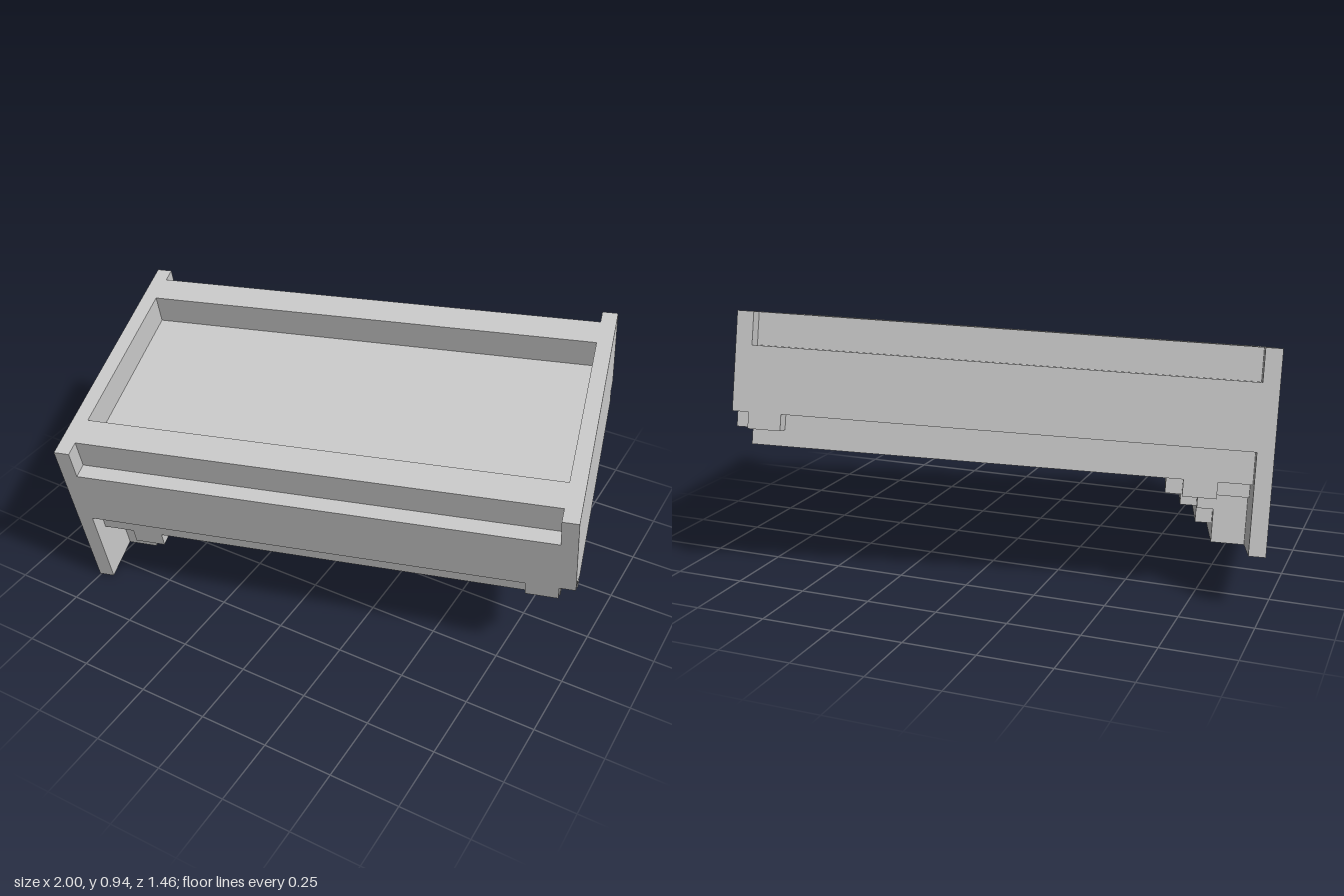
import * as THREE from 'three';

const material = new THREE.MeshStandardMaterial({ color: 0xcccccc, flatShading: true });

// Box from ranges on a block grid: x from the left end, y up, d from front to back
function block(parent, name, [x0, x1], [y0, y1], [d0, d1]) {
  const mesh = new THREE.Mesh(new THREE.BoxGeometry(x1 - x0, y1 - y0, d1 - d0), material);
  mesh.position.set((x0 + x1) / 2, (y0 + y1) / 2, -(d0 + d1) / 2);
  mesh.name = name;
  parent.add(mesh);
}

export function createModel() {
  const model = new THREE.Group();
  model.name = 'tray';
  const body = new THREE.Group();
  body.name = 'tiltedBody';
  model.add(body);

  // End panels: the tall one reaches the ground, the short one hangs
  block(body, 'tallEndPanel', [0, 1], [0, 12], [0, 18]);
  block(body, 'shortEndPanel', [31, 32], [6, 12], [0, 18]);

  // Main slab, lower slab and the raised rims around the tray floor
  block(body, 'mainSlab', [1, 31], [6, 10], [0, 18]);
  block(body, 'lowerSlab', [1, 31], [4, 6], [1, 17]);
  block(body, 'frontRim', [1, 31], [10, 12], [1, 3]);
  block(body, 'backRim', [1, 31], [10, 12], [15, 17]);

  // Moulding under the short end
  block(body, 'shortEndMoulding', [31, 32], [5, 6], [1, 17]);
  for (const d of [0, 17]) block(body, 'shortEndCorner', [29, 31], [5, 6], [d, d + 1]);

  // Upper step under the slab beside the tall end
  block(body, 'upperStep', [1, 6], [3, 4], [3, 15]);
  for (const d of [2, 15]) block(body, 'upperStepEnd', [3, 6], [3, 4], [d, d + 1]);
  for (const d of [1, 16]) block(body, 'upperStepCorner', [3, 5], [3, 4], [d, d + 1]);

  // Stepped bracket against the tall end panel
  block(body, 'bracketBase', [1, 3], [0, 3], [3, 14]);
  block(body, 'bracketLowerStep', [3, 4], [1, 2], [4, 13]);
  block(body, 'bracketUpperStep', [3, 5], [2, 3], [4, 13]);
  for (const d of [3, 13]) block(body, 'bracketCorner', [3, 4], [2, 3], [d, d + 1]);

  // Whole body is tipped and turned, resting on one corner
  body.scale.setScalar(0.0565);
  body.rotation.set(0.195, 0.245, 0);
  body.position.set(-0.755, 0, 0.6);
  return model;
}
